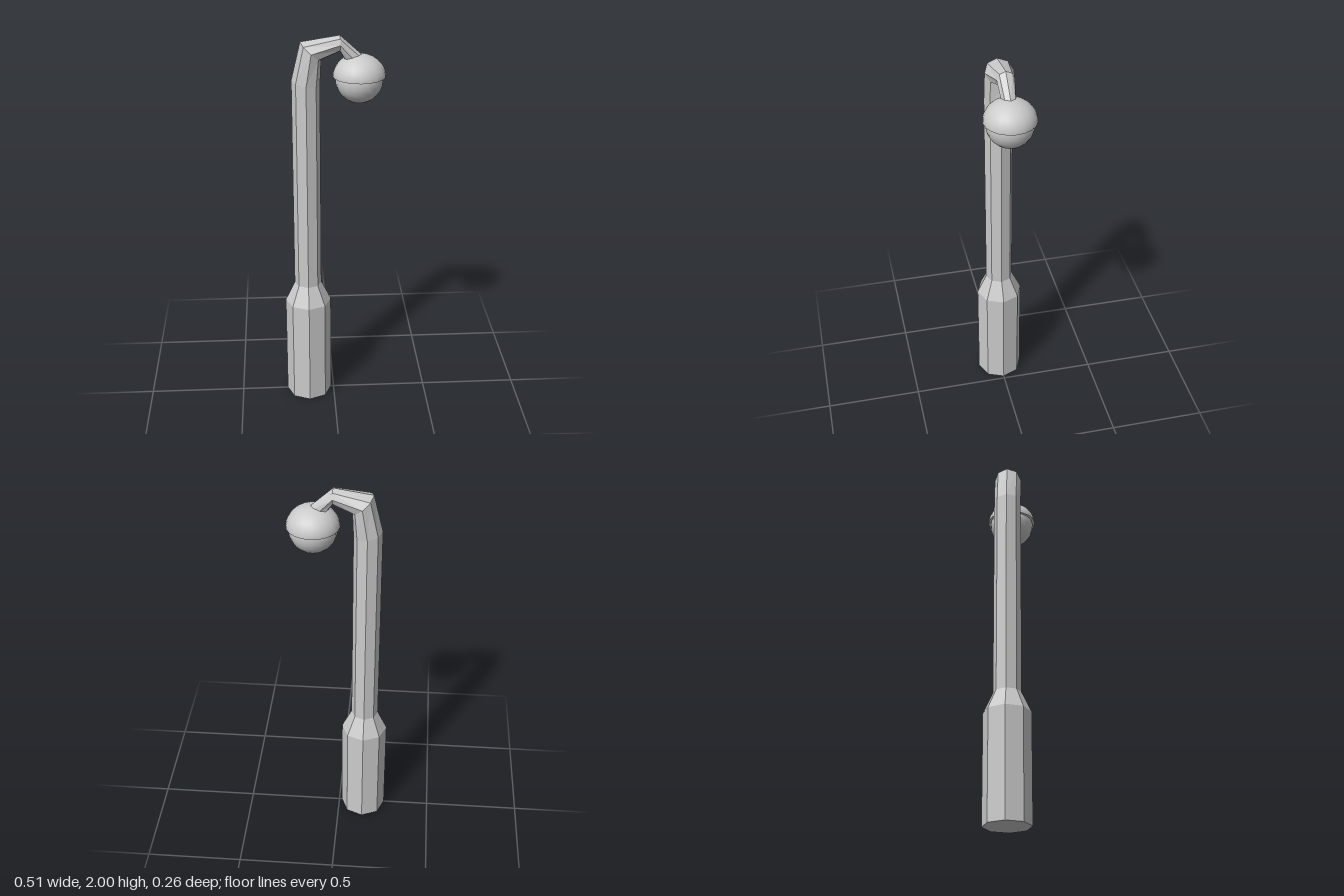
import * as THREE from 'three';

const flat = new THREE.MeshStandardMaterial({ color: 0xcccccc, flatShading: true });
const smooth = new THREE.MeshStandardMaterial({ color: 0xcccccc });
const smoothOpen = new THREE.MeshStandardMaterial({ color: 0xcccccc, side: THREE.DoubleSide });

const SIDES = 8;

// Each section: outer point [x, y], inner point [x, y], half-width in z
const POLE = [
  [-0.254, 0, -0.015, 0, 0.12],
  [-0.254, 0.565, -0.015, 0.565, 0.12],
  [-0.205, 0.67, -0.065, 0.67, 0.071],
  [-0.205, 1.78, -0.066, 1.75, 0.071],
  [-0.16, 1.97, -0.06, 1.88, 0.071],
  [0.03, 2.0, 0.03, 1.92, 0.043],
  [0.14, 1.9, 0.07, 1.855, 0.034],
];

// Skin octagonal sections into one closed, faceted tube
function loft(sections) {
  const rings = sections.map(([ox, oy, ix, iy, w]) => {
    const centre = new THREE.Vector3((ox + ix) / 2, (oy + iy) / 2, 0);
    const reach = new THREE.Vector3((ox - ix) / 2, (oy - iy) / 2, 0);
    const points = [];
    for (let i = 0; i < SIDES; i++) {
      const a = (i / SIDES) * Math.PI * 2;
      const p = centre.clone().addScaledVector(reach, Math.cos(a));
      p.z = w * Math.sin(a);
      points.push(p);
    }
    return { centre, points };
  });
  const verts = [];
  const tri = (...corners) => corners.forEach((p) => verts.push(p.x, p.y, p.z));
  const first = rings[0], last = rings[rings.length - 1];
  for (let i = 0; i < SIDES; i++) {
    const j = (i + 1) % SIDES;
    for (let r = 0; r < rings.length - 1; r++) {
      const lo = rings[r].points, hi = rings[r + 1].points;
      tri(lo[i], lo[j], hi[j]);
      tri(lo[i], hi[j], hi[i]);
    }
    tri(first.centre, first.points[j], first.points[i]);
    tri(last.centre, last.points[i], last.points[j]);
  }
  const geometry = new THREE.BufferGeometry();
  geometry.setAttribute('position', new THREE.Float32BufferAttribute(verts, 3));
  geometry.computeVertexNormals();
  return geometry;
}

function add(parent, name, geometry, material, y = 0) {
  const mesh = new THREE.Mesh(geometry, material);
  mesh.name = name;
  mesh.position.y = y;
  parent.add(mesh);
  return mesh;
}

export function createModel() {
  const model = new THREE.Group();
  model.name = 'streetLamp';

  // Wide base, slim post and tapering bent arm in one skin
  add(model, 'pole', loft(POLE), flat);

  // Lamp head hanging from the arm tip
  const head = new THREE.Group();
  head.name = 'lampHead';
  head.position.x = 0.125;
  model.add(head);

  // Domed shade, slightly flattened
  const dome = new THREE.SphereGeometry(0.129, 20, 8, 0, Math.PI * 2, 0, Math.PI / 2);
  dome.scale(1, 0.84, 1);
  add(head, 'shade', dome, smoothOpen, 1.797);

  // Flat underside of the shade around the globe
  const rim = new THREE.RingGeometry(0.1, 0.129, 20);
  rim.rotateX(Math.PI / 2);
  add(head, 'shadeRim', rim, smoothOpen, 1.797);

  // Glass globe
  add(head, 'globe', new THREE.SphereGeometry(0.117, 20, 14), smooth, 1.782);

  return model;
}
